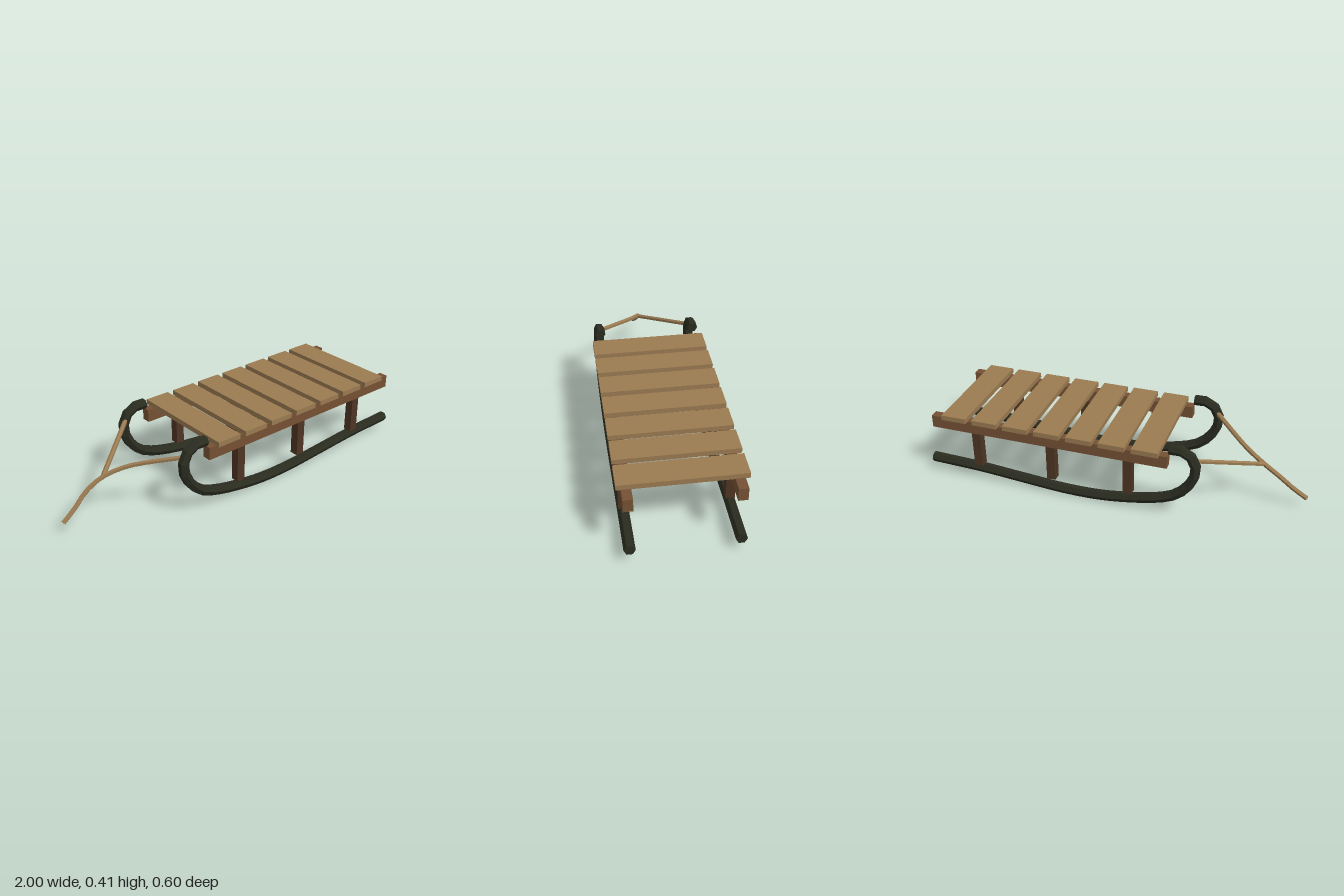
import * as THREE from 'three';

const material = (name, color) => {
  const m = new THREE.MeshStandardMaterial({ color, flatShading: true });
  m.name = name;
  return m;
};

// Closed six-sided tube through a few points
function hexTube(points, segments, radius) {
  const curve = new THREE.CatmullRomCurve3(points.map((p) => new THREE.Vector3(...p)));
  const tube = new THREE.TubeGeometry(curve, segments, radius, 6, false);
  const index = Array.from(tube.index.array);
  const end = segments * 7;
  for (let j = 1; j < 5; j++) {
    index.push(0, j, j + 1, end, end + j + 1, end + j);
  }
  tube.setIndex(index);
  const flat = tube.toNonIndexed();
  flat.computeVertexNormals();
  return flat;
}

export function createModel() {
  const lightWood = material('light wood', 0x9a7a51);
  const midWood = material('mid wood', 0x755134);
  const darkWood = material('dark wood', 0x4e3523);
  const runnerPaint = material('dark runner', 0x2a2c20);

  const sled = new THREE.Group();
  sled.name = 'sled';
  const add = (name, geometry, mat, x = 0, y = 0, z = 0) => {
    const mesh = new THREE.Mesh(geometry, mat);
    mesh.name = name;
    mesh.position.set(x, y, z);
    sled.add(mesh);
  };

  // Runner with its curled nose
  const runner = hexTube([
    [1, 0.072, 0], [0.72, 0.062, 0], [0.45, 0.041, 0], [0.22, 0.025, 0], [0, 0.031, 0],
    [-0.26, 0.077, 0], [-0.36, 0.118, 0], [-0.43, 0.19, 0], [-0.463, 0.28, 0],
    [-0.445, 0.345, 0], [-0.4, 0.382, 0], [-0.325, 0.384, 0],
  ], 30, 0.0277);
  const rail = new THREE.BoxGeometry(1.29, 0.068, 0.047);
  const post = new THREE.BoxGeometry(0.047, 0.205, 0.046);

  for (const side of [1, -1]) {
    const z = side * 0.256;
    add('runner', runner, runnerPaint, 0, 0, z);
    add('rail', rail, midWood, 0.325, 0.315, z);
    for (const x of [-0.115, 0.302, 0.72]) add('post', post, darkWood, x, 0.187, z);
  }

  // Seat slats
  const slat = new THREE.BoxGeometry(0.138, 0.027, 0.604);
  for (let i = 0; i < 7; i++) add('slat', slat, lightWood, -0.21 + i * 0.1735, 0.3605, 0);

  // Pull rope and its side branch
  add('pullRope', hexTube([
    [-0.455, 0.332, 0.245], [-0.58, 0.295, 0.12], [-0.66, 0.268, 0.05], [-0.76, 0.226, -0.002],
    [-0.85, 0.172, -0.015], [-0.92, 0.112, -0.007], [-0.993, 0.061, 0],
  ], 14, 0.0125), lightWood);
  add('ropeBranch', hexTube([
    [-0.455, 0.332, -0.245], [-0.61, 0.278, -0.12], [-0.76, 0.224, 0],
  ], 1, 0.0125), lightWood);

  return sled;
}
